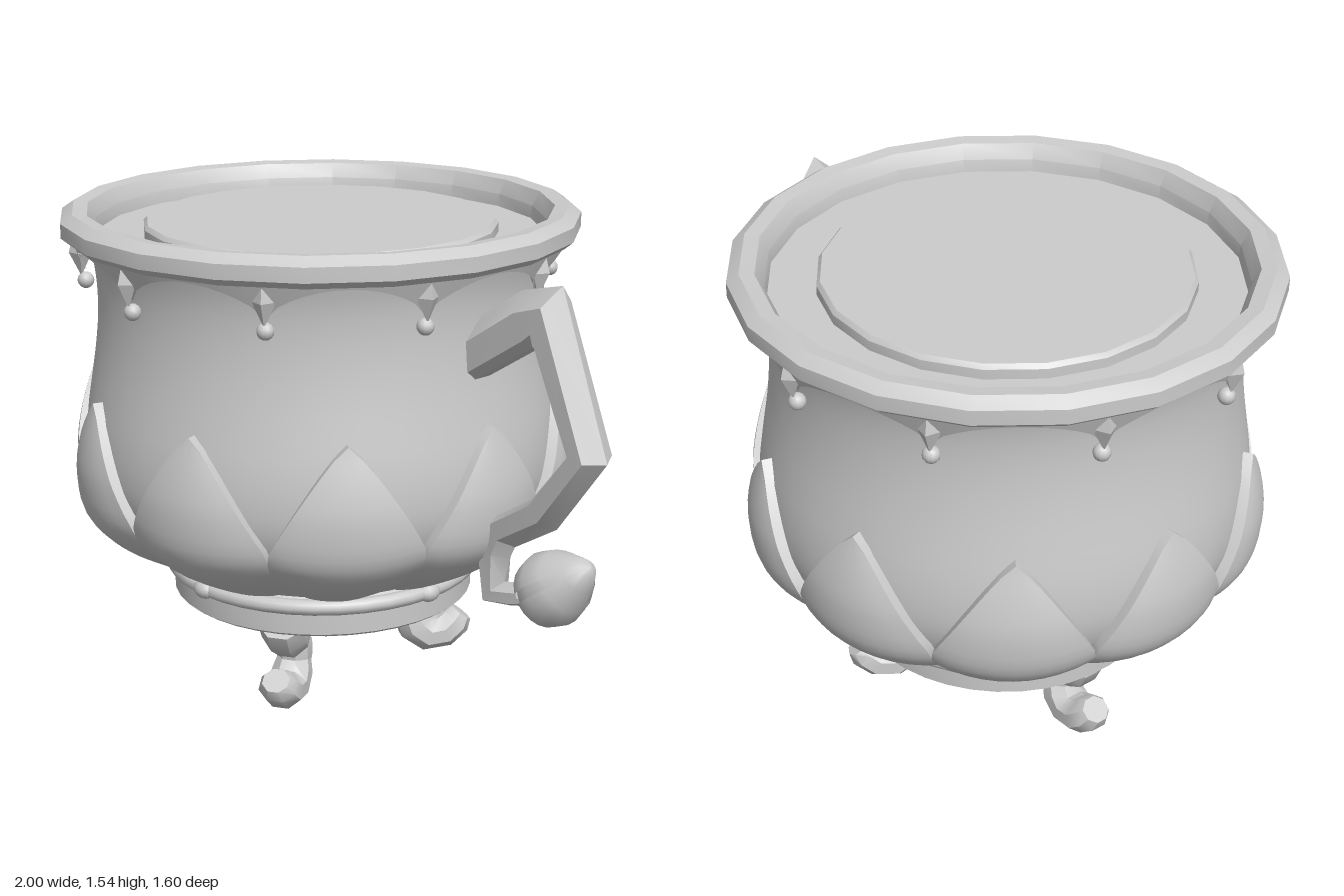
import * as THREE from 'three';
import { toCreasedNormals } from 'three/addons/utils/BufferGeometryUtils.js';

const material = new THREE.MeshStandardMaterial({ color: 0xcccccc });
const thin = new THREE.MeshStandardMaterial({ color: 0xcccccc, side: THREE.DoubleSide });
const TAU = Math.PI * 2;
const COUNT = 10; // petals, drapes and pendants around the cup

function add(parent, name, geometry, x = 0, y = 0, z = 0, mat = material) {
  const mesh = new THREE.Mesh(geometry, mat);
  mesh.name = name;
  mesh.position.set(x, y, z);
  parent.add(mesh);
  return mesh;
}

function lathe(points, segments, crease = 0.6) {
  const g = new THREE.LatheGeometry(points.map(p => new THREE.Vector2(...p)), segments, Math.PI / segments);
  return toCreasedNormals(g, crease);
}

function indexed(positions, indices, crease) {
  const g = new THREE.BufferGeometry();
  g.setAttribute('position', new THREE.Float32BufferAttribute(positions, 3));
  g.setIndex(indices);
  return toCreasedNormals(g, crease);
}

// Grid of points f(i, j), rows going up and columns going counter-clockwise
function grid(rows, cols, f, crease = 0.6) {
  const pos = [], idx = [];
  for (let i = 0; i <= rows; i++) for (let j = 0; j <= cols; j++) pos.push(...f(i, j));
  for (let i = 0; i < rows; i++) for (let j = 0; j < cols; j++) {
    const a = i * (cols + 1) + j, c = a + cols + 1;
    idx.push(a, a + 1, c, a + 1, c + 1, c);
  }
  return indexed(pos, idx, crease);
}

// Capped sweep in the XY plane; stations are [x, y, half thickness, half width in z]
function sweep(stations, section, crease) {
  const pos = [], idx = [], n = section.length, last = stations.length - 1;
  stations.forEach(([x, y, h, w], i) => {
    const dir = k => {
      const a = stations[Math.max(0, Math.min(last - 1, k))], b = stations[Math.max(0, Math.min(last - 1, k)) + 1];
      return new THREE.Vector2(b[0] - a[0], b[1] - a[1]).normalize();
    };
    const t = dir(i - 1).add(dir(i)).normalize();
    section.forEach(([p, q]) => pos.push(x - t.y * p * h, y + t.x * p * h, q * w));
  });
  for (let i = 0; i < last; i++) for (let j = 0; j < n; j++) {
    const a = i * n + j, b = i * n + (j + 1) % n;
    idx.push(a, b, a + n, b, b + n, a + n);
  }
  for (let j = 1; j < n - 1; j++) {
    idx.push(0, j + 1, j);
    idx.push(last * n, last * n + j, last * n + j + 1);
  }
  return indexed(pos, idx, crease);
}

// Radius of the petal layer at a height
const petalProfile = [[0.4, 0.48], [0.46, 0.6], [0.53, 0.71], [0.62, 0.786], [0.75, 0.807], [0.85, 0.797], [0.99, 0.763]];
const petalCurve = new THREE.CatmullRomCurve3(petalProfile.map(p => new THREE.Vector3(p[1], p[0], 0)));

function petalGeometry() {
  const rows = 22, cols = 12;
  return grid(rows, cols, (i, j) => {
    const p = petalCurve.getPoint(i / rows);
    const t = Math.max(0, (p.y - 0.64) / 0.35);
    const w = Math.pow(Math.max(0, 1 - t), 0.8);
    const skirt = j === 0 || j === cols;
    const u = THREE.MathUtils.clamp((j - 1) / (cols - 2), 0, 1) * 2 - 1;
    const r = p.x - 0.03 * w * u * u - (skirt ? 0.06 : 0);
    const a = u * w * Math.PI / COUNT;
    return [r * Math.sin(a), p.y + 0.02 * u * u * (1 - i / rows), r * Math.cos(a)];
  }, 0.7);
}

// Scalloped web hanging between two pendants
function drapeGeometry() {
  return grid(3, 12, (i, j) => {
    const u = j / 12, a = u * TAU / COUNT;
    const low = 1.355 + 0.097 * Math.pow(Math.sin(Math.PI * u), 0.65);
    const y = low + (1.47 - low) * i / 3;
    const r = 0.73 + (y - 1.35) * 0.4;
    return [r * Math.sin(a), y, r * Math.cos(a)];
  });
}

export function createModel() {
  const model = new THREE.Group();
  model.name = 'cup';
  const cup = new THREE.Group();
  cup.name = 'vessel';
  cup.position.x = -0.195;
  model.add(cup);

  // Vessel, rim and contents
  const wall = [[0.44, 0.4], [0.59, 0.5], [0.7, 0.6], [0.745, 0.7], [0.755, 0.8], [0.748, 0.9], [0.732, 1],
    [0.716, 1.1], [0.705, 1.2], [0.702, 1.3], [0.71, 1.39], [0.73, 1.47]];
  add(cup, 'body', lathe(new THREE.SplineCurve(wall.map(p => new THREE.Vector2(...p))).getPoints(30).map(p => [p.x, p.y]), 40, 1));
  add(cup, 'rim', lathe([[0.7, 1.455], [0.785, 1.458], [0.812, 1.48], [0.812, 1.525], [0.775, 1.55],
    [0.73, 1.545], [0.705, 1.5], [0.7, 1.455]], 20, 0.4));
  add(cup, 'contents', lathe([[0.715, 1.46], [0, 1.46]], 20));
  add(cup, 'raisedDisc', lathe([[0.556, 1.455], [0.556, 1.49], [0.545, 1.503], [0, 1.503]], 20, 0.4));

  // Foot plate with collar and beads
  add(cup, 'base', lathe([[0, 0.285], [0.475, 0.285], [0.488, 0.295], [0.488, 0.36], [0.47, 0.37], [0.4, 0.42]], 40, 0.5));
  const collar = add(cup, 'collar', new THREE.TorusGeometry(0.49, 0.025, 10, 40), 0, 0.387);
  collar.rotation.x = Math.PI / 2;
  for (let k = 0; k < 4; k++) {
    const a = k * TAU / 4;
    const bead = add(cup, 'collarBead', new THREE.SphereGeometry(0.03, 12, 8), 0.498 * Math.sin(a), 0.387, 0.498 * Math.cos(a));
    bead.scale.x = 1.35;
    bead.rotation.y = a;
  }

  // Petals, drapes and pendants
  const petal = petalGeometry(), drape = drapeGeometry();
  const drop = toCreasedNormals(new THREE.LatheGeometry([[0, 1.335], [0.036, 1.41], [0.02, 1.47]].map(p => new THREE.Vector2(...p)), 4), 0.3);
  for (let k = 0; k < COUNT; k++) {
    const a = k * TAU / COUNT;
    add(cup, 'petal', petal, 0, 0, 0, thin).rotation.y = a + Math.PI / COUNT;
    add(cup, 'drape', drape, 0, 0, 0, thin).rotation.y = a;
    const pendant = new THREE.Group();
    pendant.name = 'pendant';
    pendant.rotation.y = a;
    add(pendant, 'drop', drop, 0, 0, 0.748);
    add(pendant, 'dropBead', new THREE.SphereGeometry(0.026, 12, 8), 0, 1.322, 0.735);
    cup.add(pendant);
  }

  // Three hooked legs
  const octagon = Array.from({ length: 8 }, (_, i) => {
    const a = (i + 0.5) * TAU / 8;
    return [Math.cos(a) * 1.08, Math.sin(a) * 1.08];
  });
  const thigh = sweep([[0.4, 0.3, 0.07, 0.075], [0.37, 0.255, 0.08, 0.075], [0.325, 0.215, 0.07, 0.062], [0.3, 0.195, 0.05, 0.05]], octagon, 0.7);
  const shin = sweep([[0.305, 0.215, 0.045, 0.045], [0.295, 0.185, 0.058, 0.052], [0.292, 0.145, 0.058, 0.052], [0.3, 0.115, 0.05, 0.05]], octagon, 0.7);
  const claw = sweep([[0.295, 0.135, 0.048, 0.05], [0.312, 0.095, 0.058, 0.06], [0.355, 0.06, 0.056, 0.064],
    [0.415, 0.066, 0.056, 0.064], [0.455, 0.1, 0.054, 0.06], [0.475, 0.125, 0.04, 0.042]], octagon, 0.7);
  for (let k = 0; k < 3; k++) {
    const leg = new THREE.Group();
    leg.name = 'leg';
    leg.rotation.y = Math.PI / 3 + k * TAU / 3;
    add(leg, 'thigh', thigh);
    add(leg, 'shin', shin);
    add(leg, 'claw', claw);
    cup.add(leg);
  }

  // Angular handle with a ridged section, ending in a curled stem
  const ridged = [[1, 0], [0.3, 1], [-0.7, 1], [-1, 0.5], [-1, -0.5], [-0.7, -1], [0.3, -1]];
  add(model, 'handle', sweep([[0.46, 1.19, 0.08, 0.06], [0.7, 1.345, 0.083, 0.065], [0.78, 1.375, 0.09, 0.065],
    [0.945, 0.985, 0.055, 0.065], [0.785, 0.778, 0.055, 0.058], [0.62, 0.675, 0.055, 0.05], [0.588, 0.61, 0.055, 0.045],
    [0.592, 0.48, 0.048, 0.04], [0.66, 0.492, 0.034, 0.036], [0.76, 0.515, 0.03, 0.03]], ridged, 0.35));

  // Flower bud at the end of the stem
  const bud = new THREE.Group();
  bud.name = 'bud';
  bud.position.set(0.73, 0.49, 0);
  bud.rotation.z = -Math.atan2(0.8, 0.6);
  model.add(bud);
  const budProfile = [[0, 0], [0.06, 0.015], [0.096, 0.055], [0.108, 0.11], [0.092, 0.17], [0.06, 0.225], [0.03, 0.268], [0, 0.282]];
  add(bud, 'budCore', lathe(budProfile, 16, 0.8));
  for (let k = 0; k < 3; k++) {
    const shell = new THREE.LatheGeometry(budProfile.slice(0, 6).map(([r, y]) => new THREE.Vector2(r * 1.07, y - 0.004)), 6, k * TAU / 3, 1.8);
    add(bud, 'budPetal', shell, 0, 0, 0, thin);
  }
  return model;
}
